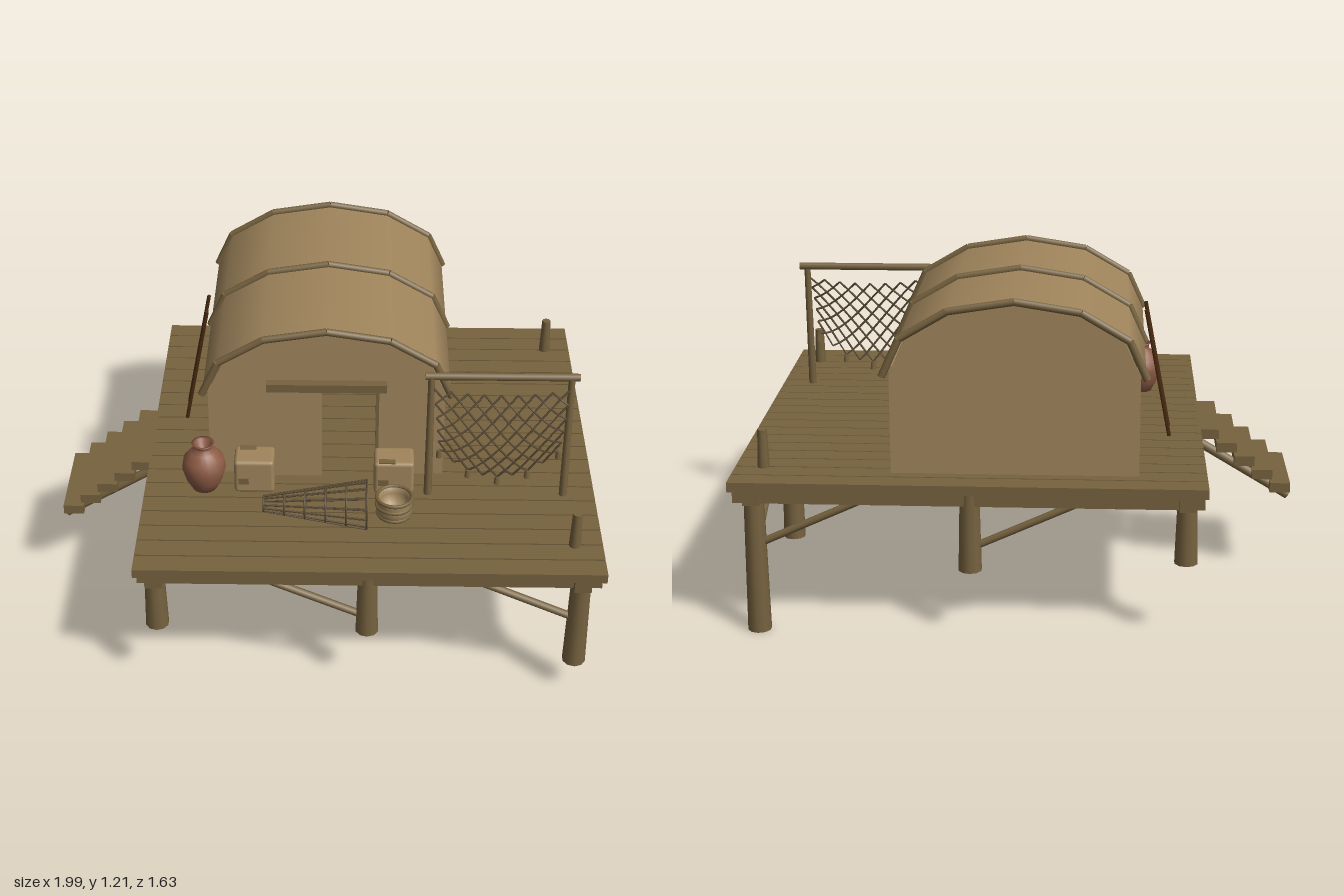
import * as THREE from 'three';
import { RoundedBoxGeometry } from 'three/addons/geometries/RoundedBoxGeometry.js';

const mat = (name, color, extra = {}) => {
  const m = new THREE.MeshStandardMaterial({ color, ...extra });
  m.name = name;
  return m;
};
const V = (x, y, z) => new THREE.Vector3(x, y, z);

export function createModel() {
  const wood = mat('weathered wood', 0x76623f);
  const straw = mat('woven straw', 0xa0855c, { side: THREE.DoubleSide });
  const darkWood = mat('dark ladder wood', 0x4a2a10);
  const clay = mat('red clay', 0x8e5c46, { side: THREE.DoubleSide });
  const cord = mat('cord', 0x5f4f38);
  const root = new THREE.Group();
  root.name = 'stiltHut';

  const group = (name, parent = root) => {
    const g = new THREE.Group();
    g.name = name;
    parent.add(g);
    return g;
  };
  const add = (parent, name, geo, material, x = 0, y = 0, z = 0) => {
    const m = new THREE.Mesh(geo, material);
    m.name = name;
    m.position.set(x, y, z);
    parent.add(m);
    return m;
  };
  // Box given by its minimum and maximum corners
  const box = (parent, name, x0, x1, y0, y1, z0, z1, material = wood) =>
    add(parent, name, new THREE.BoxGeometry(x1 - x0, y1 - y0, z1 - z0), material,
      (x0 + x1) / 2, (y0 + y1) / 2, (z0 + z1) / 2);
  // Round pole between two points
  const pole = (parent, name, a, b, r0, r1 = r0, sides = 8, material = wood) => {
    const d = b.clone().sub(a);
    const m = add(parent, name, new THREE.CylinderGeometry(r1, r0, d.length(), sides), material);
    m.position.copy(a).add(b).multiplyScalar(0.5);
    m.quaternion.setFromUnitVectors(V(0, 1, 0), d.normalize());
    return m;
  };

  // Deck planks and the beams below them
  const deck = group('deck');
  const pitch = 1.64 / 19;
  for (let i = 0; i < 19; i++) {
    const z = -0.82 + i * pitch;
    box(deck, 'plank', -0.65, 1, 0.538, 0.573, z + 0.003, z + pitch - 0.003);
  }
  for (const z of [-0.75, 0, 0.75]) box(deck, 'longBeam', -0.64, 0.99, 0.485, 0.538, z - 0.03, z + 0.03);
  for (const x of [-0.58, 0.92]) box(deck, 'crossBeam', x - 0.03, x + 0.03, 0.487, 0.537, -0.81, 0.81);

  // Stilts reach down to a sloping bank
  const stilts = group('stilts');
  const feet = [[-0.58, [0.28, 0.28, 0.28]], [0.17, [0.24, 0.24, 0.26]], [0.92, [0, 0.05, 0.13]]];
  for (const [x, bottoms] of feet)
    bottoms.forEach((y, i) => {
      const z = (i - 1) * 0.75;
      pole(stilts, 'stilt', V(x, y, z), V(x, 0.53, z), 0.042, 0.035, 10);
    });
  for (const z of [-0.75, 0.75])
    for (const x of [0.17, 0.92]) pole(stilts, 'brace', V(x - 0.37, 0.49, z), V(x, 0.32, z), 0.014);
  for (const z of [-0.75, 0]) pole(stilts, 'brace', V(0.92, 0.49, z + 0.39), V(0.92, 0.31, z), 0.014);
  for (const z of [-0.65, 0.65]) pole(deck, 'mooringStake', V(0.9, 0.56, z), V(0.9, 0.712, z), 0.022, 0.017);

  // Stairs
  const stairs = group('stairs');
  for (let i = 0; i < 5; i++) {
    const x = -0.68 - i * 0.068, y = 0.573 - i * 0.052;
    box(stairs, 'tread', x - 0.038, x + 0.038, y - 0.037, y, -0.175, 0.175);
  }
  for (const z of [-0.13, 0.13]) pole(stilts, 'stringer', V(-0.985, 0.305, z), V(-0.62, 0.525, z), 0.018);

  // Hut walls: arched end walls and straight side walls
  const hut = group('hut');
  const cx = 0.017, eave = 0.93, floor = 0.573;
  const arch = (a, b) => Array.from({ length: 7 }, (_, i) =>
    new THREE.Vector2(cx + a * Math.cos(i * Math.PI / 6), eave + b * Math.sin(i * Math.PI / 6)));
  const endWall = (name, z, door) => {
    const s = new THREE.Shape();
    s.moveTo(cx + 0.43, floor);
    arch(0.43, 0.25).forEach(p => s.lineTo(p.x, p.y));
    s.lineTo(cx - 0.43, floor);
    if (door) [[-0.17, floor], [-0.17, 0.95], [0.2, 0.95], [0.2, floor]].forEach(p => s.lineTo(...p));
    s.closePath();
    add(hut, name, new THREE.ExtrudeGeometry(s, { depth: 0.014, bevelEnabled: false }), straw, 0, 0, z);
  };
  endWall('frontWall', 0.214, true);
  endWall('backWall', -0.692, false);
  for (const s of [-1, 1])
    box(hut, 'sideWall', cx + s * 0.424 - 0.007, cx + s * 0.424 + 0.007, floor, eave + 0.03, -0.69, 0.228, straw);

  // Barrel roof with three bent ribs
  const roofGeo = new THREE.CylinderGeometry(1, 1, 0.97, 6, 1, true, Math.PI / 2, Math.PI);
  roofGeo.rotateX(Math.PI / 2);
  roofGeo.scale(0.45, 0.262, 1);
  add(hut, 'roof', roofGeo, straw, cx, eave, -0.235);
  for (const z of [0.247, -0.238, -0.718]) {
    const pts = arch(0.452, 0.267);
    for (let i = 0; i < 6; i++)
      pole(hut, 'roofRib', V(pts[i].x, pts[i].y, z), V(pts[i + 1].x, pts[i + 1].y, z), 0.0135);
  }

  // Sliding door and its rail
  box(hut, 'door', -0.172, 0, floor, 0.955, 0.232, 0.248, straw);
  box(hut, 'doorRail', -0.2, 0.235, 0.95, 0.982, 0.226, 0.262);
  box(hut, 'doorJamb', 0.196, 0.208, floor, 0.95, 0.21, 0.236);

  // Ladder leaning on the side
  const ladder = group('ladder');
  const foot = z => V(-0.53, floor, z), head = z => V(-0.437, 1.05, z);
  for (const z of [-0.25, -0.13]) pole(ladder, 'ladderRail', foot(z), head(z), 0.008, 0.008, 6, darkWood);
  for (let i = 0; i < 6; i++) {
    const t = 0.12 + i * 0.15;
    pole(ladder, 'rung', foot(-0.26).lerp(head(-0.26), t), foot(-0.12).lerp(head(-0.12), t), 0.006, 0.006, 6, darkWood);
  }

  // Clay jar
  const lathe = pts => new THREE.LatheGeometry(pts.map(p => new THREE.Vector2(...p)), 20);
  add(root, 'jar', lathe([[0, 0], [0.045, 0], [0.066, 0.04], [0.08, 0.09], [0.073, 0.13], [0.048, 0.16],
    [0.032, 0.172], [0.034, 0.185], [0.042, 0.195], [0.03, 0.192], [0.022, 0.165], [0, 0.15]]), clay, -0.43, floor, 0.32);

  // Basin with dark hoops
  const basin = group('basin');
  basin.position.set(0.265, floor, 0.485);
  add(basin, 'bowl', lathe([[0, 0], [0.052, 0], [0.063, 0.02], [0.068, 0.045], [0.062, 0.065], [0.07, 0.083],
    [0.058, 0.083], [0.052, 0.06], [0.046, 0.02], [0, 0.016]]), straw);
  for (const [r, y] of [[0.064, 0.082], [0.064, 0.052], [0.06, 0.014]])
    add(basin, 'hoop', new THREE.TorusGeometry(r, 0.007, 6, 20).rotateX(Math.PI / 2), wood, 0, y, 0);

  // Bundles with patches beside the door
  for (const [x, s] of [[-0.245, 1], [0.265, -1]]) {
    const b = group('bundle');
    b.position.set(x, floor, 0.305);
    add(b, 'bundleBody', new RoundedBoxGeometry(0.146, 0.136, 0.112, 2, 0.014), straw, 0, 0.068, 0);
    box(b, 'topPatch', -0.055, 0.005, 0.133, 0.138, -0.04 * s - 0.012, -0.04 * s + 0.012, wood);
    box(b, 'frontPatch', -0.058, -0.02, 0.04, 0.065, 0.052, 0.058, wood);
  }

  // Conical fish trap lying on its side
  const trap = group('fishTrap');
  trap.position.set(0, 0.675, 0.56);
  const trapR = t => 0.028 + 0.06 * t, trapX = t => -0.2 + 0.365 * t;
  for (let i = 0; i < 14; i++) {
    const a = i / 14 * Math.PI * 2;
    const at = t => V(trapX(t), trapR(t) * Math.sin(a), trapR(t) * Math.cos(a));
    pole(trap, 'trapStick', at(0), at(1), 0.003, 0.003, 5, cord);
  }
  for (let i = 0; i < 6; i++)
    add(trap, 'trapRing', new THREE.TorusGeometry(trapR(i / 5), 0.0035, 5, 18).rotateY(Math.PI / 2), cord, trapX(i / 5), 0, 0);

  // Net rack
  const rack = group('netRack');
  for (const x of [0.39, 0.885]) pole(rack, 'rackPost', V(x, 0.56, 0.35), V(x, 1.06, 0.32), 0.015, 0.012);
  pole(rack, 'rackBar', V(0.368, 1.062, 0.318), V(0.914, 1.062, 0.318), 0.014);

  // Hanging net: two families of diagonal cords on a sagging sheet
  const cols = 8, rows = 5;
  const knot = (i, j) => {
    const u = i / cols, v = j / rows, sag = 4 * u * (1 - u);
    return V(0.64 + (u - 0.5) * (0.48 - 0.05 * v), 1.015 - 0.025 * sag - v * (0.24 + 0.09 * sag),
      0.328 + 0.05 * Math.sin(v * 2.4));
  };
  for (let i = 0; i < cols; i++)
    for (let j = 0; j < rows; j += 0.5) {
      const odd = (j * 2) % 2;
      const mid = i + 0.5;
      const [a, b, c] = odd ? [knot(mid, j), knot(i, j + 0.5), knot(i + 1, j + 0.5)]
        : [knot(mid, j + 0.5), knot(i, j), knot(i + 1, j)];
      pole(rack, 'netCord', a, b, 0.004, 0.004, 4, cord);
      pole(rack, 'netCord', a, c, 0.004, 0.004, 4, cord);
    }
  for (const i of [0, 2, 4, 6, 8]) {
    const p = knot(i, rows);
    pole(rack, 'netWeight', V(p.x, p.y - 0.03, p.z), p, 0.013, 0.009, 6);
  }
  for (const [i, x] of [[0, 0.39], [cols, 0.885]])
    pole(rack, 'netTie', knot(i, 0), V(x, 1.05, 0.32), 0.004, 0.004, 4, cord);

  return root;
}
